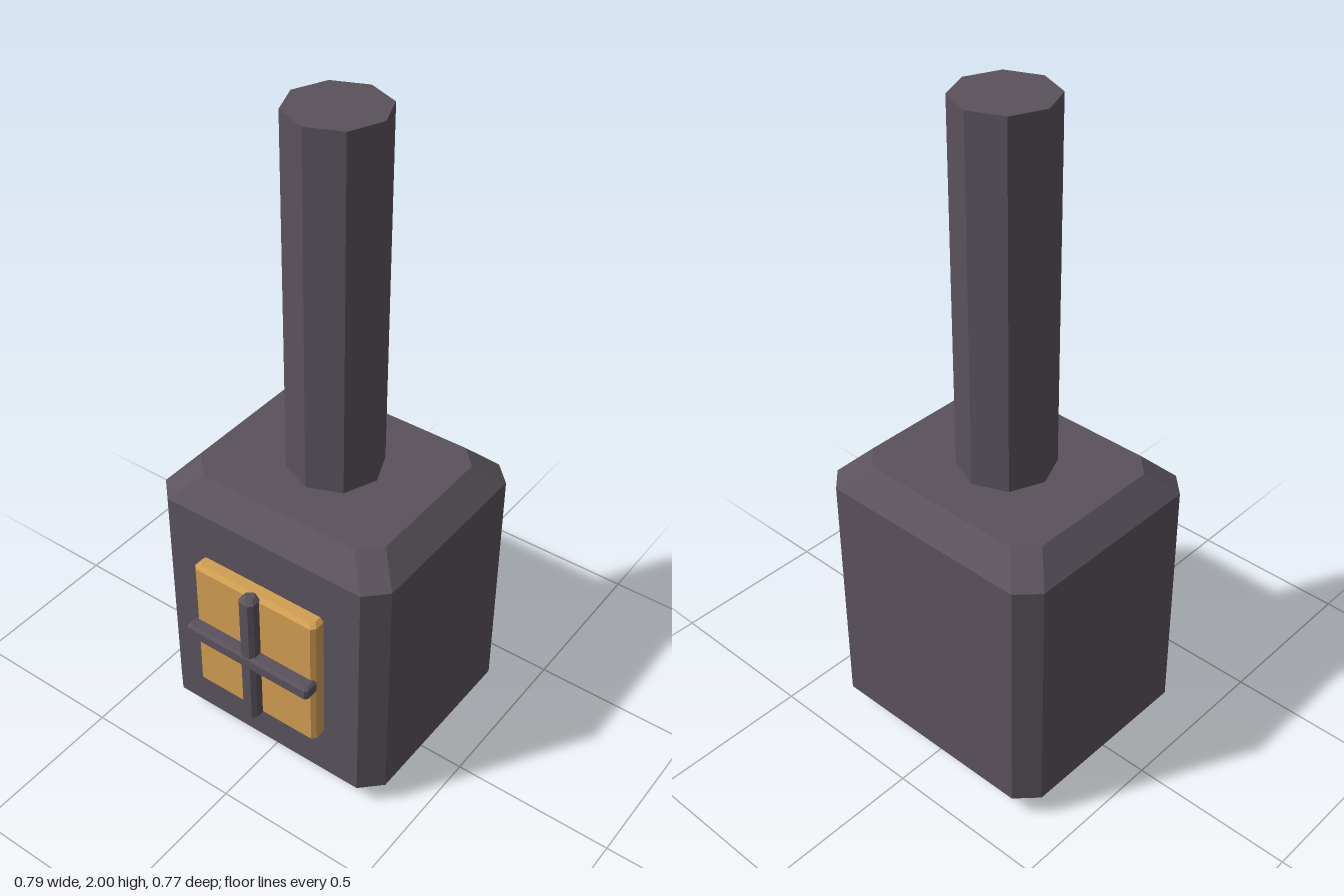
import * as THREE from 'three';

const dark = new THREE.MeshStandardMaterial({ color: 0x5a525c });
dark.name = 'dark stone';
const amber = new THREE.MeshStandardMaterial({ color: 0xd19e52 });
amber.name = 'amber glass';

// Box with cut upright corners and chamfered top and bottom edges
function chamferedBox(w, h, d, inset, cut) {
  const ring = (y, shrink) => {
    const x = w / 2 - shrink, z = d / 2 - shrink;
    // counterclockwise seen from above
    return [
      [x, z - cut], [x, -z + cut], [x - cut, -z], [-x + cut, -z],
      [-x, -z + cut], [-x, z - cut], [-x + cut, z], [x - cut, z],
    ].map(([px, pz]) => [px, y, pz]);
  };
  const rings = [
    ring(-h / 2, inset), ring(-h / 2 + inset, 0),
    ring(h / 2 - inset, 0), ring(h / 2, inset),
  ];
  const pos = [];
  const tri = (a, b, c) => pos.push(...a, ...b, ...c);
  for (let i = 0; i < 3; i++) {
    for (let j = 0; j < 8; j++) {
      const k = (j + 1) % 8, lo = rings[i], hi = rings[i + 1];
      tri(lo[j], lo[k], hi[k]);
      tri(lo[j], hi[k], hi[j]);
    }
  }
  for (let j = 1; j < 7; j++) {
    tri(rings[3][0], rings[3][j], rings[3][j + 1]);
    tri(rings[0][0], rings[0][j + 1], rings[0][j]);
  }
  const geo = new THREE.BufferGeometry();
  geo.setAttribute('position', new THREE.Float32BufferAttribute(pos, 3));
  geo.computeVertexNormals();
  return geo;
}

function add(parent, name, geo, mat, x, y, z) {
  const mesh = new THREE.Mesh(geo, mat);
  mesh.name = name;
  mesh.position.set(x, y, z);
  parent.add(mesh);
  return mesh;
}

export function createModel() {
  const model = new THREE.Group();
  model.name = 'furnace';

  // Body and eight-sided chimney
  add(model, 'body', chamferedBox(0.786, 0.912, 0.688, 0.073, 0.06), dark, 0, 0.456, -0.043);
  const pipe = new THREE.CylinderGeometry(0.142, 0.142, 1.1, 8).toNonIndexed();
  pipe.computeVertexNormals();
  add(model, 'chimney', pipe, dark, 0, 1.45, -0.043);

  // Glowing window with crossed bars
  const grate = new THREE.Group();
  grate.name = 'window';
  model.add(grate);
  add(grate, 'pane', chamferedBox(0.428, 0.46, 0.077, 0.012, 0.012), amber, 0, 0.459, 0.3085);
  add(grate, 'uprightBar', chamferedBox(0.052, 0.468, 0.058, 0.012, 0.012), dark, 0, 0.459, 0.355);
  add(grate, 'crossBar', chamferedBox(0.436, 0.046, 0.055, 0.008, 0.008), dark, 0, 0.459, 0.3595);

  return model;
}
